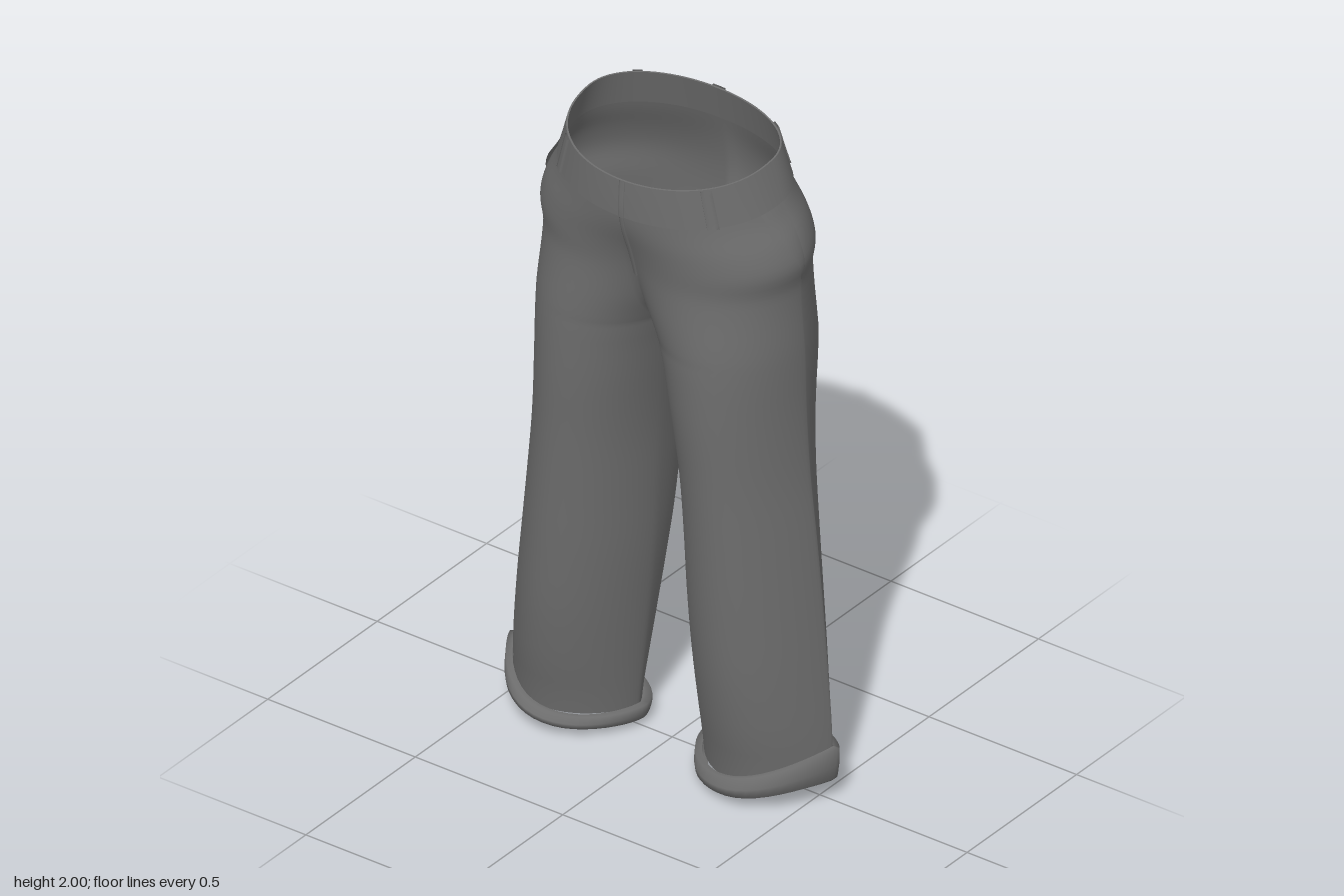
import * as THREE from 'three';
import { mergeVertices, mergeGeometries } from 'three/addons/utils/BufferGeometryUtils.js';

// Smooth curve through [height, value] pairs
function curve(pts) {
  const n = pts.length;
  const slope = (i) => {
    const a = pts[Math.max(0, i - 1)], b = pts[Math.min(n - 1, i + 1)];
    return (b[1] - a[1]) / (b[0] - a[0]);
  };
  return (h) => {
    let i = 0;
    while (i < n - 2 && h > pts[i + 1][0]) i++;
    const [h0, v0] = pts[i], [h1, v1] = pts[i + 1], d = h1 - h0;
    const t = Math.min(1, Math.max(0, (h - h0) / d)), t2 = t * t, t3 = t2 * t;
    return v0 * (2 * t3 - 3 * t2 + 1) + slope(i) * d * (t3 - 2 * t2 + t)
      + v1 * (3 * t2 - 2 * t3) + slope(i + 1) * d * (t3 - t2);
  };
}

// Outline of one leg by height; above the crotch the inner edge passes the centre plane
const CROTCH = 1.38, BAND = 1.855, TOP = 1.97;
const outer = curve([[0.05, 0.537], [0.2, 0.532], [0.4, 0.514], [0.6, 0.493], [0.8, 0.47], [1, 0.446], [1.2, 0.432],
  [1.4, 0.425], [1.6, 0.411], [1.68, 0.423], [1.75, 0.403], [1.82, 0.365], [1.86, 0.348], [1.97, 0.312]]);
const inner = curve([[0.05, 0.122], [0.2, 0.11], [0.4, 0.093], [0.6, 0.078], [0.8, 0.07], [1, 0.06], [1.2, 0.035],
  [1.38, 0], [1.5, -0.06], [1.6, -0.12], [1.72, -0.21], [1.86, -0.33], [1.97, -0.312]]);
const front = curve([[0.05, 0.155], [0.13, 0.165], [0.2, 0.18], [0.4, 0.205], [0.6, 0.215], [0.8, 0.22], [1, 0.226],
  [1.2, 0.235], [1.4, 0.235], [1.6, 0.226], [1.7, 0.235], [1.86, 0.262], [1.97, 0.258]]);
const back = curve([[0.05, 0.145], [0.13, 0.15], [0.2, 0.17], [0.4, 0.2], [0.6, 0.22], [0.8, 0.235], [1, 0.245],
  [1.2, 0.255], [1.4, 0.262], [1.6, 0.267], [1.7, 0.257], [1.86, 0.21], [1.97, 0.183]]);
const shift = curve([[0.05, 0], [0.3, 0.006], [0.8, 0.015], [1.2, 0.016], [2, 0.016]]);
// Sharpness of the section towards each seam: 0.5 is round, 1 is lens-shaped
const sharpFront = curve([[0.05, 0.85], [0.8, 0.75], [1.4, 0.57], [1.86, 0.48], [1.97, 0.45]]);
const sharpBack = curve([[0.05, 1.1], [0.8, 0.95], [1.4, 0.8], [1.7, 0.6], [1.86, 0.48], [1.97, 0.45]]);
const sharpInner = curve([[0.05, 0.68], [0.8, 0.6], [1.38, 0.48], [1.97, 0.45]]);
// Inward lean of the back of the leg
const lean = curve([[0.05, 0], [0.4, 0.025], [0.8, 0.045], [1.1, 0.03], [1.34, 0], [2, 0]]);

// Point on the cloth: u = -1 back seam, 0 outer seam, 1 front seam
function cloth(side, u, h, off = 0) {
  const xo = outer(h), xi = inner(h), rx = (xo - xi) / 2, xc = (xo + xi) / 2, z0 = -0.01;
  const open = h > CROTCH + 1e-6;
  const limit = open ? Math.acos(-Math.min(1, Math.max(0, xc / rx))) : Math.PI;
  const a = u * limit, c = Math.cos(a), s = Math.sin(a);
  const rz = s > 0 ? front(h) - z0 : back(h) + z0;
  const sharp = c < 0 ? sharpInner(h) : s > 0 ? sharpFront(h) : sharpBack(h);
  const z = z0 + rz * Math.sign(s) * Math.pow(Math.abs(s), 2 * sharp) + off * s;
  let x = xc + rx * c + off * c;
  if (!open && s < 0) x -= lean(h) * s * s;
  if (open && Math.abs(u) > 0.9999) x = 0;
  const tilt = 0.16 * THREE.MathUtils.smoothstep(h, 1.45, 1.9);
  return [side * x + shift(h), h - tilt * z, z];
}

// Surface grid from a rule; flip mirrors the winding
function grid(cols, rows, rule, flip) {
  const pos = [], index = [];
  for (let j = 0; j <= rows; j++) for (let i = 0; i <= cols; i++) pos.push(...rule(i, j));
  for (let j = 0; j < rows; j++) for (let i = 0; i < cols; i++) {
    const a = j * (cols + 1) + i, b = a + cols + 1;
    if (flip) index.push(a, a + 1, b, b, a + 1, b + 1);
    else index.push(a, b, a + 1, b, b + 1, a + 1);
  }
  const g = new THREE.BufferGeometry();
  g.setAttribute('position', new THREE.Float32BufferAttribute(pos, 3));
  g.setIndex(index);
  return g;
}

function weld(parts) {
  const g = mergeVertices(mergeGeometries(parts), 1e-4);
  g.computeVertexNormals();
  return g;
}

export function createModel() {
  const model = new THREE.Group();
  model.name = 'trousers';
  const fabric = new THREE.MeshStandardMaterial({ color: 0x6c6c6c, side: THREE.DoubleSide });
  fabric.name = 'grey fabric';
  const add = (name, parts) => {
    const mesh = new THREE.Mesh(weld(parts), fabric);
    mesh.name = name;
    model.add(mesh);
  };
  const sides = [1, -1];

  // Legs and hips as one continuous shell
  const heights = [];
  for (let i = 0; i <= 26; i++) heights.push(0.06 + (CROTCH - 0.06) * i / 26);
  for (let i = 1; i <= 24; i++) heights.push(CROTCH + (BAND + 0.005 - CROTCH) * i / 24);
  add('legsAndHips', sides.map((s) =>
    grid(56, heights.length - 1, (i, j) => cloth(s, i / 28 - 1, heights[j]), s < 0)));

  // Waistband: each part is a run of [height, offset] rows
  const band = {
    waistbandLowerEdge: [[BAND, 0], [BAND, 0.005]],
    waistband: [[BAND, 0.005], [1.91, 0.005], [TOP, 0.005]],
    waistbandRim: [[TOP, 0.005], [TOP, 0]],
    waistbandLining: [[TOP, 0], [BAND, -0.002]],
  };
  for (const [name, rows] of Object.entries(band)) {
    add(name, sides.map((s) =>
      grid(40, rows.length - 1, (i, j) => cloth(s, i / 20 - 1, ...rows[j]), s < 0)));
  }

  // Raised strip with its edges turned down to the cloth
  const strip = (s, u0, u1, h0, h1, base, lift) => grid(5, 8, (i, j) => {
    const f = [0, 0.02, 0.35, 0.65, 0.98, 1][i];
    return cloth(s, u0 + (u1 - u0) * f, h0 + (h1 - h0) * j / 8, i === 0 || i === 5 ? base : lift);
  }, s < 0);

  // Belt loops
  for (const s of sides) {
    add('frontBeltLoop', [strip(s, 0.44, 0.51, BAND, TOP, 0.004, 0.011)]);
    add('backBeltLoop', [strip(s, -0.51, -0.44, BAND, TOP, 0.004, 0.011)]);
  }
  add('centreBackBeltLoop', sides.map((s) => grid(2, 4, (i, j) =>
    cloth(s, -1 + 0.04 * Math.min(i, 1), BAND + (TOP - BAND) * j / 4, i === 2 ? 0.004 : 0.011), s < 0)));

  // Fly and waistband overlap
  add('fly', [strip(1, 0.975, 0.999, 1.6, BAND, 0, 0.004)]);
  add('waistbandOverlap', [strip(1, 0.965, 0.999, BAND, TOP, 0.004, 0.008)]);

  // Slanted pocket mouths standing slightly off the hip
  for (const s of sides) {
    add('pocket', [grid(4, 12, (i, j) => {
      const t = j / 12, f = i / 4;
      return cloth(s, -0.01 + (0.03 + 0.165 * t) * f, 1.63 + (BAND - 1.63) * t,
        0.002 + 0.009 * f * Math.sin(Math.PI * (0.1 + 0.8 * t)));
    }, s < 0)]);
  }

  // Turned-up cuffs: flared bands, tall on the outside of each leg and curled under at the hem
  for (const s of sides) {
    const [inTop, outTop, inLow, outLow] = s > 0 ? [0.06, 0.17, 0.004, 0.06] : [0.07, 0.135, 0.018, 0.065];
    // each row: share of height, spread in x, spread in z
    const rows = [[0.1, -0.016, -0.012], [0, 0, 0.01], [0.12, 0.013, 0.036], [0.5, 0.019, 0.034],
      [1, 0.023, 0.016], [1, 0.002, 0.002]];
    add(s > 0 ? 'leftCuff' : 'rightCuff', [grid(48, rows.length - 1, (i, j) => {
      const u = i / 24 - 1, a = u * Math.PI, [v, dx, dz] = rows[j];
      const [x, , z] = cloth(s, u, 0.11);
      const k = (Math.cos(a) + 1) / 2;
      const low = inLow + (outLow - inLow) * k + 0.02 * Math.sin(3 * a + s) * k * (1 - k);
      const top = inTop + (outTop - inTop) * k - 0.13 * k * (1 - k);
      return [x + s * dx * Math.cos(a), low + (top - low) * v, z + dz * Math.sin(a)];
    }, s < 0)]);
  }
  return model;
}
